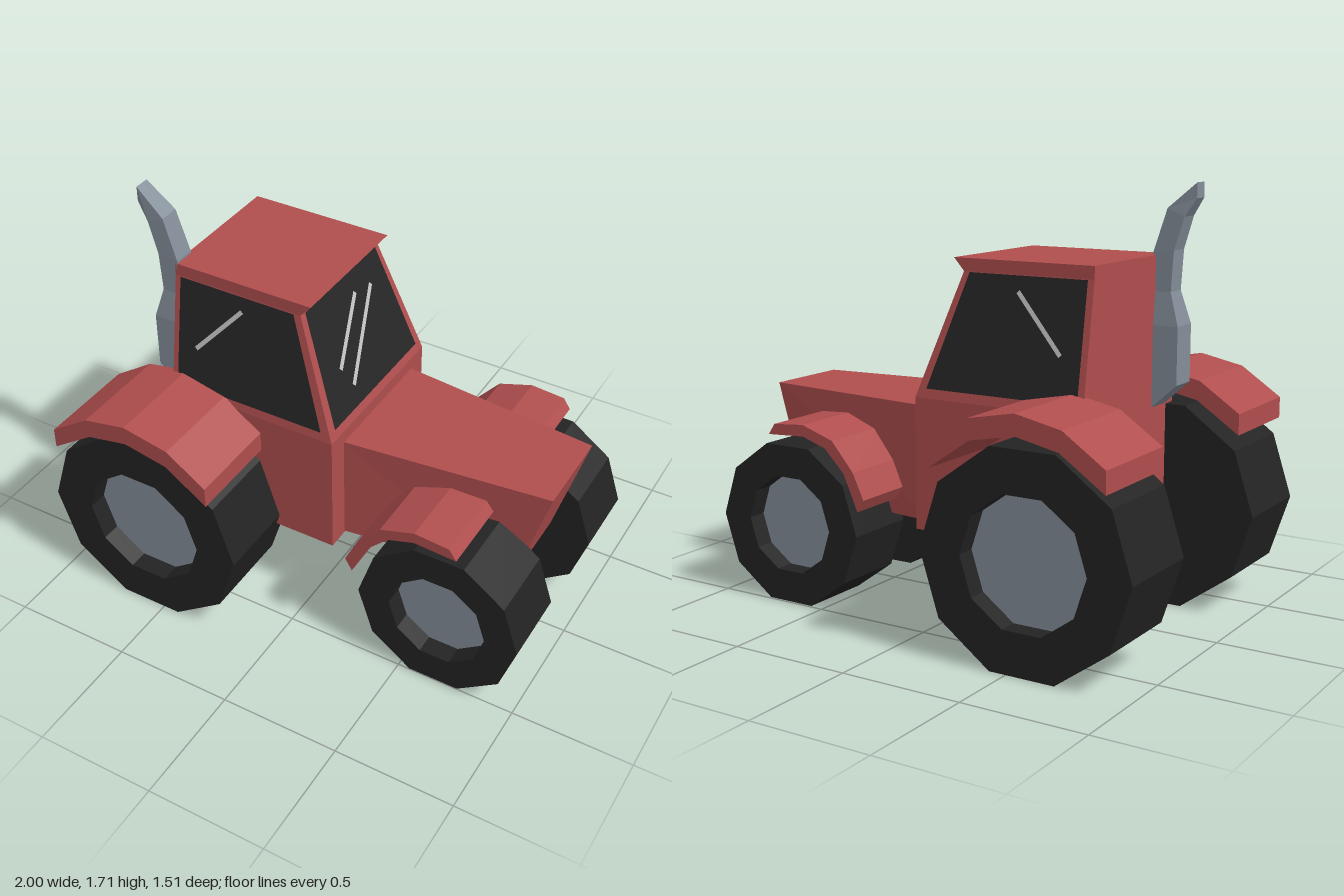
import * as THREE from 'three';

const red = new THREE.MeshStandardMaterial({ color: 0xb04e4e });
const black = new THREE.MeshStandardMaterial({ color: 0x232323 });
const grey = new THREE.MeshStandardMaterial({ color: 0x848e99 });
const glass = new THREE.MeshStandardMaterial({ color: 0x262626, side: THREE.DoubleSide });
const glint = new THREE.MeshStandardMaterial({ color: 0xc4c4c4, side: THREE.DoubleSide });
red.name = 'redPaint';
black.name = 'blackRubber';
grey.name = 'greyMetal';
glass.name = 'darkGlass';
glint.name = 'paleGlint';

function mesh(name, geometry, material) {
  const m = new THREE.Mesh(geometry, material);
  m.name = name;
  return m;
}

// Flat-faced geometry from a list of quads
function quads(list) {
  const pos = [];
  for (const [a, b, c, d] of list) pos.push(...a, ...b, ...c, ...a, ...c, ...d);
  const g = new THREE.BufferGeometry();
  g.setAttribute('position', new THREE.Float32BufferAttribute(pos, 3));
  g.computeVertexNormals();
  return g;
}

// Closed solid through four-cornered cross-sections
function loft(rings) {
  const list = [[...rings[0]].reverse(), rings[rings.length - 1]];
  for (let k = 0; k + 1 < rings.length; k++) {
    for (let i = 0; i < 4; i++) {
      const j = (i + 1) % 4;
      list.push([rings[k][i], rings[k][j], rings[k + 1][j], rings[k + 1][i]]);
    }
  }
  return quads(list);
}

// Section running from a back edge to a front edge, z0 +- h
const section = (xb, yb, xf, yf, h, z = 0) =>
  [[xb, yb, z + h], [xf, yf, z + h], [xf, yf, z - h], [xb, yb, z - h]];

// Tyre with a recessed hub, outer side facing +z
function wheel(name, R, r, width) {
  const g = new THREE.Group();
  g.name = name;
  const recess = 0.08;
  const profile = [[0, 0], [R, 0], [R, width], [r, width], [r, width - recess]]
    .map(p => new THREE.Vector2(...p));
  const tyre = new THREE.LatheGeometry(profile, 10, Math.PI / 2).rotateX(Math.PI / 2).toNonIndexed();
  tyre.computeVertexNormals();
  const hub = new THREE.CircleGeometry(r, 10).translate(0, 0, width - recess);
  g.add(mesh('tyre', tyre, black), mesh('hub', hub, grey));
  return g;
}

// Curved guard extruded sideways between z0 and z1
function fender(name, points, z0, z1) {
  const shape = new THREE.Shape(points.map(p => new THREE.Vector2(...p)));
  const g = new THREE.ExtrudeGeometry(shape, { depth: z1 - z0, bevelEnabled: false });
  return mesh(name, g.translate(0, 0, z0), red);
}

// Corners of a slim stroke between two 2D points
function stroke([ax, ay], [bx, by], w) {
  const l = Math.hypot(bx - ax, by - ay);
  const nx = -(by - ay) / l * w / 2, ny = (bx - ax) / l * w / 2;
  return [[ax - nx, ay - ny], [bx - nx, by - ny], [bx + nx, by + ny], [ax + nx, ay + ny]];
}

export function createModel() {
  const model = new THREE.Group();
  model.name = 'tractor';

  // Cab with flared lower walls and an overhanging roof
  model.add(mesh('cab', loft([
    section(-0.615, 0.365, 0.12, 0.365, 0.368),
    section(-0.615, 0.89, 0.12, 0.89, 0.368),
    section(-0.615, 1.38, -0.055, 1.38, 0.29),
    section(-0.615, 1.43, -0.01, 1.43, 0.29),
  ]), red));

  // Hood tapering to a raked nose
  const hoodRing = (xLow, xHigh, h) =>
    [[xLow, 0.372, h], [xLow, 0.372, -h], [xHigh, 0.837, -h], [xHigh, 0.837, h]];
  model.add(mesh('hood', loft([hoodRing(0.1, 0.1, 0.277), hoodRing(0.825, 0.96, 0.185)]), red));

  // Windows and glints lie just above the sloping cab walls
  const t = y => (y - 0.89) / 0.49;
  const onSide = (s, lift) => ([x, y]) => [x, y, s * (0.368 - 0.078 * t(y) + lift)];
  const onFront = lift => ([z, y]) => [0.12 - 0.175 * t(y) + lift, y, z];
  const sideWindow = [[-0.59, 0.928], [0.07, 0.928], [-0.083, 1.378], [-0.59, 1.378]];
  const windscreen = [[0.325, 0.928], [-0.325, 0.928], [-0.263, 1.378], [0.263, 1.378]];
  for (const s of [1, -1]) {
    model.add(
      mesh('sideWindow', quads([sideWindow.map(onSide(s, 0.004))]), glass),
      mesh('sideGlint', quads([stroke([-0.505, 1.1], [-0.305, 1.32], 0.018).map(onSide(s, 0.008))]), glint));
  }
  model.add(
    mesh('windscreen', quads([windscreen.map(onFront(0.004))]), glass),
    mesh('windscreenGlints', quads([
      stroke([0.18, 1.1], [-0.05, 1.3], 0.022).map(onFront(0.008)),
      stroke([0.135, 1.01], [-0.16, 1.28], 0.022).map(onFront(0.008)),
    ]), glint));

  // Bent exhaust pipe behind the cab, from the bottom up
  model.add(mesh('exhaust', loft([
    [-0.72, 0.93, -0.61, 0.83, 0.06],
    [-0.72, 1.16, -0.61, 1.16, 0.06],
    [-0.68, 1.29, -0.605, 1.29, 0.045],
    [-0.69, 1.45, -0.603, 1.44, 0.045],
    [-0.73, 1.58, -0.658, 1.61, 0.042],
    [-0.775, 1.65, -0.775, 1.71, 0.032],
  ].map(p => section(...p, 0.245))), grey));

  // Wheels on both sides
  for (const s of [1, -1]) {
    const rear = wheel('rearWheel', 0.435, 0.26, 0.395);
    rear.position.set(-0.565, 0.416, s * 0.31);
    const front = wheel('frontWheel', 0.341, 0.205, 0.315);
    front.position.set(0.656, 0.332, s * 0.187);
    rear.rotation.y = front.rotation.y = s > 0 ? 0 : Math.PI;
    model.add(rear, front);
  }

  // Fenders on both sides
  const rearArc = [[-0.92, 0.73], [-0.74, 0.852], [-0.565, 0.888], [-0.38, 0.852], [-0.205, 0.73],
    [-0.205, 0.815], [-0.37, 0.93], [-0.565, 0.968], [-0.75, 0.93], [-0.92, 0.815]];
  const frontArc = [[0.295, 0.44], [0.36, 0.585], [0.45, 0.675], [0.56, 0.71], [0.735, 0.7],
    [0.705, 0.745], [0.56, 0.757], [0.415, 0.71], [0.315, 0.595], [0.265, 0.49]];
  for (const s of [1, -1]) {
    const span = (a, b) => (s > 0 ? [a, b] : [-b, -a]);
    model.add(fender('rearFender', rearArc, ...span(0.335, 0.755)));
    model.add(fender('frontFender', frontArc, ...span(0.2, 0.518)));
  }
  return model;
}
